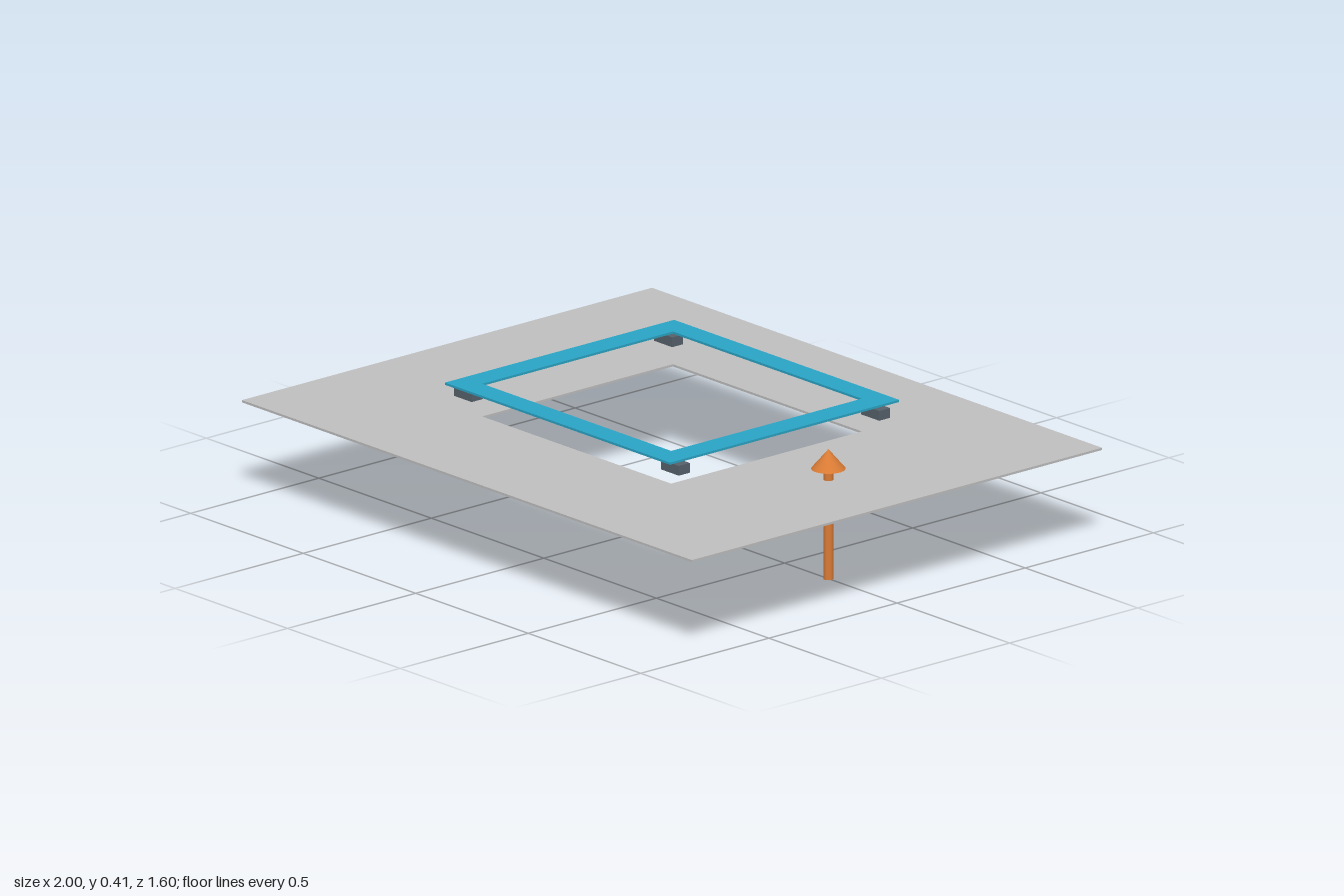
import * as THREE from 'three';

const material = (name, color) => {
  const m = new THREE.MeshStandardMaterial({ color });
  m.name = name;
  return m;
};

// Flat rectangular sheet with a rectangular opening, its underside at y
function openSheet(name, width, depth, holeWidth, holeDepth, y, thickness, mat) {
  const w = width / 2, d = depth / 2, a = holeWidth / 2, b = holeDepth / 2;
  const shape = new THREE.Shape([[-w, -d], [w, -d], [w, d], [-w, d]].map(p => new THREE.Vector2(...p)));
  shape.holes.push(new THREE.Path([[-a, -b], [-a, b], [a, b], [a, -b]].map(p => new THREE.Vector2(...p))));
  const geometry = new THREE.ExtrudeGeometry(shape, { depth: thickness, bevelEnabled: false });
  geometry.rotateX(-Math.PI / 2);
  const mesh = new THREE.Mesh(geometry, mat);
  mesh.name = name;
  mesh.position.y = y;
  return mesh;
}

export function createModel() {
  const model = new THREE.Group();
  model.name = 'framedOpeningPanel';
  const grey = material('panel grey', 0xc0c0c0);
  const blue = material('frame blue', 0x2ba5c6);
  const dark = material('spacer slate', 0x56616b);
  const orange = material('arrow orange', 0xd97b35);

  // Panel and the raised frame around its opening
  model.add(openSheet('panel', 2, 1.6, 0.84, 0.744, 0.299, 0.007, grey));
  model.add(openSheet('frame', 1, 0.894, 0.84, 0.744, 0.4, 0.007, blue));

  // Spacer blocks under the four frame corners
  const block = new THREE.BoxGeometry(0.08, 0.03, 0.043);
  for (const x of [-0.46, 0.46]) {
    for (const z of [-0.391, 0.391]) {
      const spacer = new THREE.Mesh(block, dark);
      spacer.name = 'spacer';
      spacer.position.set(x, 0.374, z);
      model.add(spacer);
    }
  }

  // Upward arrow passing through the panel
  const arrow = new THREE.Group();
  arrow.name = 'arrow';
  arrow.position.x = 0.695;
  const shaft = new THREE.Mesh(new THREE.CylinderGeometry(0.015, 0.015, 0.34, 20), orange);
  shaft.name = 'arrowShaft';
  shaft.position.y = 0.17;
  const head = new THREE.Mesh(new THREE.ConeGeometry(0.051, 0.06, 24), orange);
  head.name = 'arrowHead';
  head.position.y = 0.37;
  arrow.add(shaft, head);
  model.add(arrow);

  return model;
}
